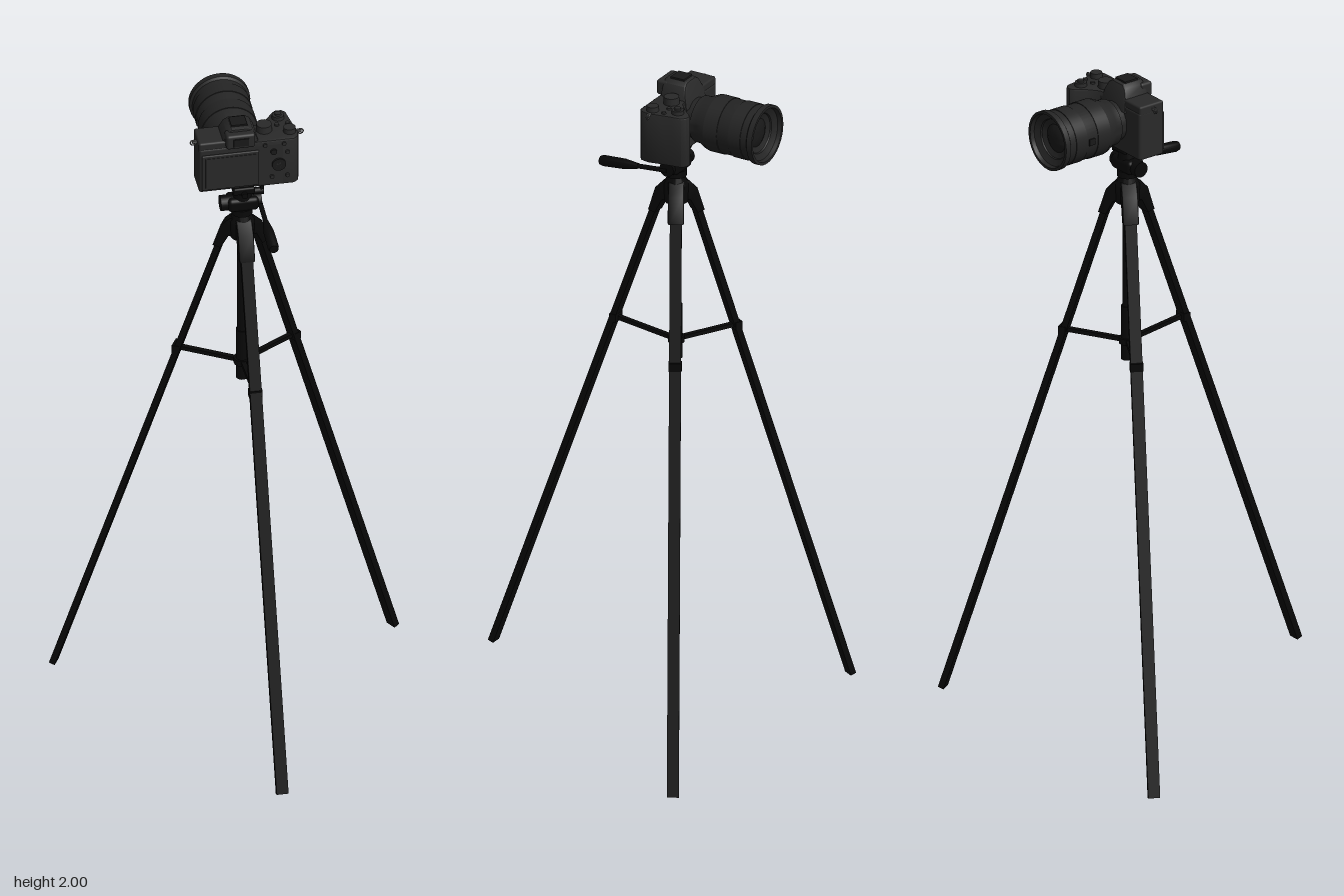
import * as THREE from 'three';
import { toCreasedNormals } from 'three/addons/utils/BufferGeometryUtils.js';
import { RoundedBoxGeometry } from 'three/addons/geometries/RoundedBoxGeometry.js';

const paint = (name, color) => {
  const m = new THREE.MeshStandardMaterial({ color });
  m.name = name;
  return m;
};

export function createModel() {
  const tripodBlack = paint('tripodBlack', 0x080808);
  const bodyGrey = paint('bodyGrey', 0x292929);
  const lensGrey = paint('lensGrey', 0x242424);
  const trimDark = paint('trimDark', 0x191919);
  const lugMetal = paint('lugMetal', 0x555555);
  const AXIS = -0.152; // z of the tripod's centre column

  const add = (parent, name, geo, mat, x = 0, y = 0, z = 0) => {
    const m = new THREE.Mesh(geo, mat);
    m.name = name;
    m.position.set(x, y, z);
    parent.add(m);
    return m;
  };
  const box = (w, h, d) => new THREE.BoxGeometry(w, h, d);
  const cyl = (r0, r1, h, n = 24) => new THREE.CylinderGeometry(r0, r1, h, n);
  const lathe = (pts, n = 48) => toCreasedNormals(
    new THREE.LatheGeometry(pts.map(p => new THREE.Vector2(...p)), n), 0.5);
  // Plan outline of [x, forward] points raised to a height
  const prism = (pts, h, bevel) => {
    const g = new THREE.ExtrudeGeometry(new THREE.Shape(pts.map(p => new THREE.Vector2(...p))), {
      depth: h - 2 * bevel, bevelEnabled: bevel > 0, bevelSize: bevel,
      bevelOffset: -bevel, bevelThickness: bevel, bevelSegments: 2 });
    return g.translate(0, 0, bevel);
  };
  // Flat bar in the y-z plane between [y, z] points
  const bar = (parent, name, a, b, width, thick) => {
    const dy = b[0] - a[0], dz = b[1] - a[1];
    const m = add(parent, name, box(width, Math.hypot(dy, dz), thick), tripodBlack,
      0, (a[0] + b[0]) / 2, (a[1] + b[1]) / 2);
    m.rotation.x = Math.atan2(dz, dy);
    return m;
  };

  const model = new THREE.Group();
  model.name = 'cameraOnTripod';

  // ---- Tripod ----
  const tripod = new THREE.Group();
  tripod.name = 'tripod';
  tripod.position.z = AXIS;
  model.add(tripod);

  const legs = [
    { turn: 0, foot: [0.09, 0.605], brace: [1.2, 0.2] },
    { turn: 2 * Math.PI / 3, foot: [0.004, 0.566], brace: [1.18, 0.194] },
    { turn: -2 * Math.PI / 3, foot: [0.004, 0.566], brace: [1.18, 0.194] },
  ];
  for (const { turn, foot, brace } of legs) {
    const leg = new THREE.Group();
    leg.name = 'leg';
    leg.rotation.y = turn;
    tripod.add(leg);
    bar(leg, 'legTube', foot, [1.63, 0.048], 0.034, 0.018);
    bar(leg, 'spreaderBrace', [1.178, 0.01], brace, 0.014, 0.012);
    add(leg, 'braceClamp', box(0.038, 0.024, 0.022), tripodBlack, 0, brace[0], brace[1]);
    // Shoulder: side profile extruded across the leg
    const s = prism([[0, 1.685], [-0.03, 1.675], [-0.058, 1.645], [-0.082, 1.57],
      [-0.058, 1.565], [-0.035, 1.61], [0, 1.62]], 0.046, 0.004);
    s.translate(0, 0, -0.023).rotateY(Math.PI / 2);
    add(leg, 'shoulder', toCreasedNormals(s, 0.6), tripodBlack);
  }

  add(tripod, 'centreColumn', cyl(0.014, 0.014, 0.44), tripodBlack, 0, 1.42);
  add(tripod, 'lowerColumn', cyl(0.018, 0.018, 0.165), tripodBlack, 0, 1.2025);
  add(tripod, 'spreaderHub', cyl(0.024, 0.024, 0.018), tripodBlack, 0, 1.178);
  add(tripod, 'crown', lathe([[0, 1.61], [0.034, 1.61], [0.036, 1.665], [0.024, 1.69],
    [0.022, 1.7], [0, 1.7]], 32), tripodBlack);

  // Pan head with tilt block, plate and knobs
  const head = new THREE.Group();
  head.name = 'panHead';
  tripod.add(head);
  add(head, 'panBase', cyl(0.03, 0.03, 0.02), tripodBlack, 0, 1.7);
  add(head, 'tiltBlock', new RoundedBoxGeometry(0.09, 0.042, 0.056, 3, 0.012), tripodBlack, 0, 1.728);
  add(head, 'tiltBarrel', cyl(0.023, 0.023, 0.118), tripodBlack, -0.005, 1.728).rotation.z = Math.PI / 2;
  add(head, 'headNeck', cyl(0.024, 0.028, 0.03), tripodBlack, 0, 1.758);
  add(head, 'mountPlate', new RoundedBoxGeometry(0.062, 0.022, 0.07, 2, 0.005), tripodBlack, 0, 1.782);
  add(head, 'plateKnob', cyl(0.01, 0.01, 0.03, 16), tripodBlack, 0.045, 1.758).rotation.z = Math.PI / 2;
  add(head, 'plateLever', box(0.01, 0.034, 0.014), tripodBlack, 0.057, 1.765);
  add(head, 'rearKnob', cyl(0.009, 0.009, 0.016, 16), tripodBlack, 0, 1.774, 0.037).rotation.x = Math.PI / 2;

  // Pan handle pointing backwards
  const handle = new THREE.Group();
  handle.name = 'panHandle';
  handle.position.set(0.05, 1.722, 0.01);
  handle.rotation.x = Math.PI / 2 + 0.09;
  head.add(handle);
  add(handle, 'handleShaft', cyl(0.007, 0.007, 0.12, 16), tripodBlack, 0, 0.05);
  add(handle, 'handleGrip', lathe([[0, 0.085], [0.008, 0.086], [0.015, 0.13], [0.016, 0.2],
    [0.013, 0.21], [0, 0.212]], 24), tripodBlack);

  // ---- Camera ----
  const camera = new THREE.Group();
  camera.name = 'camera';
  model.add(camera);

  add(camera, 'bodyShell', new RoundedBoxGeometry(0.25, 0.148, 0.088, 3, 0.008), bodyGrey, -0.005, 1.867, -0.164);
  add(camera, 'leftTopPlate', new RoundedBoxGeometry(0.09, 0.03, 0.084, 2, 0.006), bodyGrey, -0.085, 1.945, -0.164);
  const gripPlan = [[0.03, 0.12], [0.145, 0.12], [0.158, 0.13], [0.163, 0.155], [0.156, 0.19],
    [0.15, 0.225], [0.146, 0.255], [0.135, 0.266], [0.118, 0.268], [0.105, 0.258],
    [0.085, 0.232], [0.055, 0.208], [0.03, 0.205]];
  const grip = prism(gripPlan, 0.155, 0.005).rotateX(-Math.PI / 2);
  add(camera, 'handGrip', toCreasedNormals(grip, 0.7), bodyGrey, 0, 1.793, 0);

  // Viewfinder hump and eyepiece
  const hump = prism([[-0.066, 1.92], [0.046, 1.92], [0.04, 1.96], [0.028, 1.985], [0.014, 1.995],
    [-0.034, 1.995], [-0.048, 1.985], [-0.06, 1.96]], 0.09, 0.006);
  const p = hump.attributes.position;
  for (let i = 0; i < p.count; i++) { // lean the front of the hump back
    const t = Math.max(0, (p.getY(i) - 1.92) / 0.075);
    p.setZ(i, p.getZ(i) + (0.09 - p.getZ(i)) * 0.2 * t);
  }
  add(camera, 'viewfinderHump', toCreasedNormals(hump, 0.6), bodyGrey, 0, 0, -0.215);
  add(camera, 'eyepiece', new RoundedBoxGeometry(0.084, 0.046, 0.04, 3, 0.008), bodyGrey, -0.012, 1.965, -0.123);
  add(camera, 'eyepieceGlass', box(0.044, 0.024, 0.004), trimDark, -0.012, 1.965, -0.102);
  add(camera, 'hotShoe', box(0.046, 0.006, 0.044), trimDark, -0.01, 1.997, -0.163);

  // Rear screen and controls
  add(camera, 'rearScreen', new RoundedBoxGeometry(0.165, 0.118, 0.008, 2, 0.003), bodyGrey, -0.04, 1.862, -0.118);
  add(camera, 'screenGlass', box(0.145, 0.1, 0.002), bodyGrey, -0.04, 1.862, -0.1135);
  const rearDisc = (name, r, x, y, mat) => {
    add(camera, name, cyl(r, r, 0.008), mat, x, y, -0.118).rotation.x = Math.PI / 2;
  };
  rearDisc('controlWheel', 0.02, 0.1, 1.865, trimDark);
  rearDisc('wheelCentre', 0.009, 0.1, 1.865, bodyGrey);
  rearDisc('joystick', 0.009, 0.085, 1.91, trimDark);
  for (const [x, y] of [[0.125, 1.905], [0.08, 1.825], [0.125, 1.825], [0.06, 1.935], [0.115, 1.935]])
    rearDisc('rearButton', 0.006, x, y, bodyGrey);

  // Top dials and shutter button: x, z, radius, height
  for (const [name, x, z, r, h] of [
    ['modeDial', 0.068, -0.177, 0.023, 0.022], ['exposureDial', 0.138, -0.157, 0.018, 0.016],
    ['shutterCollar', 0.118, -0.228, 0.018, 0.012], ['shutterButton', 0.118, -0.228, 0.01, 0.018],
    ['topButton', 0.108, -0.193, 0.007, 0.006], ['topButton', 0.14, -0.195, 0.007, 0.006]]) {
    add(camera, name, cyl(r * 0.95, r, h), bodyGrey, x, 1.947 + h / 2, z);
  }

  // Strap lugs
  for (const [x, s] of [[-0.136, 1], [0.166, -1]]) {
    add(camera, 'strapLug', box(0.014, 0.008, 0.008), lugMetal, x, 1.945, -0.16);
    add(camera, 'strapRing', new THREE.TorusGeometry(0.008, 0.002, 8, 16), lugMetal, x - s * 0.004, 1.942, -0.16);
  }

  // ---- Lens, its axis facing away from the rear screen ----
  const lens = new THREE.Group();
  lens.name = 'lens';
  lens.position.set(-0.011, 1.88, 0);
  lens.rotation.x = -Math.PI / 2;
  camera.add(lens);
  add(lens, 'lensBarrel', lathe([[0.058, 0.2], [0.06, 0.226], [0.068, 0.23], [0.069, 0.25],
    [0.081, 0.275], [0.081, 0.425], [0.088, 0.43], [0.088, 0.447], [0.08, 0.447], [0.077, 0.435]]), lensGrey);
  add(lens, 'innerCone', lathe([[0.077, 0.435], [0.06, 0.425], [0.058, 0.421], [0.042, 0.415]]), lensGrey);
  add(lens, 'frontGlass', lathe([[0.042, 0.415], [0.03, 0.421], [0.016, 0.424], [0, 0.425]]), trimDark);
  for (const [y, h] of [[0.305, 0.045], [0.385, 0.04]])
    add(lens, 'gripRing', cyl(0.083, 0.083, h, 48), lensGrey, 0, y);
  add(lens, 'lensSwitch', box(0.006, 0.02, 0.02), trimDark, -0.081, 0.35, 0);

  return model;
}
